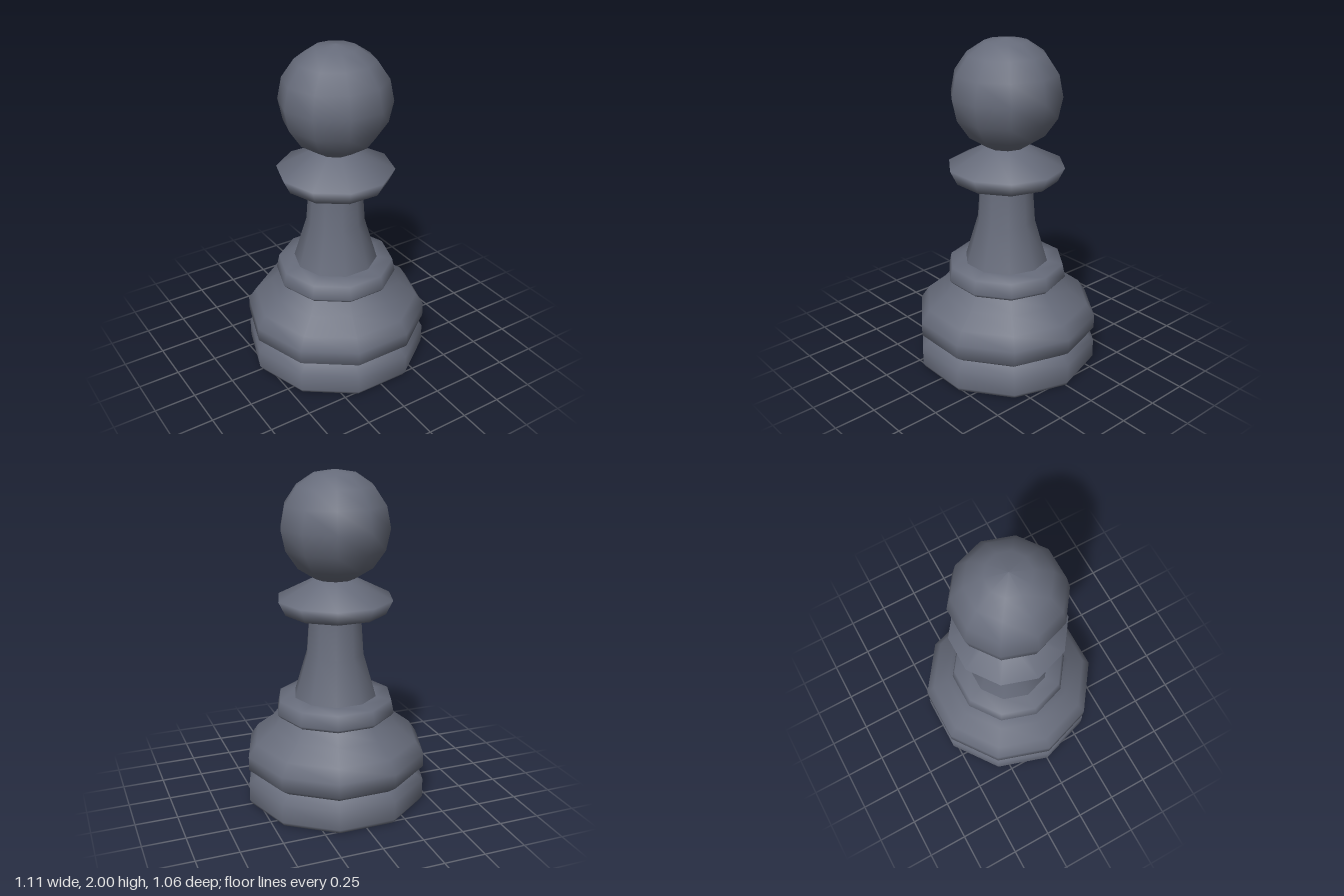
import * as THREE from 'three';

const SIDES = 10;

export function createModel() {
  const group = new THREE.Group();
  const slate = new THREE.MeshStandardMaterial({ color: 0x676c7b });
  slate.name = 'slate grey';

  // Turns a [radius, height] profile, listed bottom to top, with corners on the x axis
  const turn = (name, profile) => {
    const points = profile.map(([r, y]) => new THREE.Vector2(r, y));
    const mesh = new THREE.Mesh(new THREE.LatheGeometry(points, SIDES, Math.PI / 2), slate);
    mesh.name = name;
    group.add(mesh);
  };

  // Foot with closed underside, up to the groove
  turn('foot', [[0, 0], [0.54, 0], [0.555, 0.025], [0.555, 0.14], [0.495, 0.183]]);

  // Rounded bulge above the groove
  turn('baseBulge', [[0.495, 0.183], [0.555, 0.228], [0.555, 0.313], [0.505, 0.388], [0.402, 0.467], [0.348, 0.538]]);

  // Narrow ring with a shallow sloping top
  turn('baseRing', [[0.348, 0.538], [0.367, 0.56], [0.35, 0.642], [0.254, 0.655]]);

  // Tapering stem
  turn('stem', [[0.254, 0.655], [0.176, 0.916], [0.158, 1.172]]);

  // Flared collar
  turn('collar', [[0.158, 1.172], [0.307, 1.172], [0.349, 1.257], [0.12, 1.374]]);

  // Ball head
  turn('head', [
    [0.12, 1.374], [0.228, 1.443], [0.301, 1.55], [0.328, 1.677],
    [0.303, 1.804], [0.23, 1.91], [0.126, 1.979], [0, 2],
  ]);

  return group;
}
